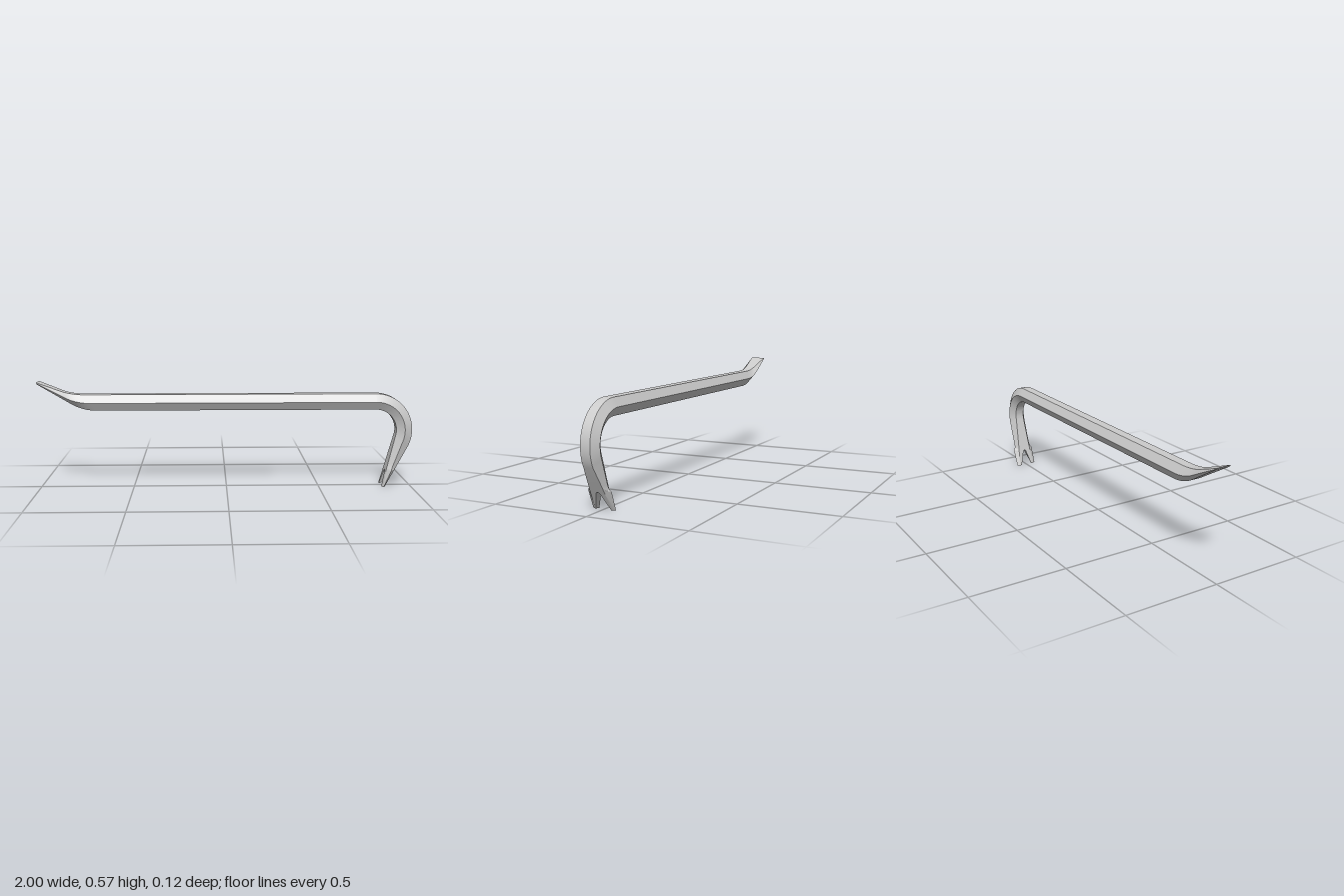
import * as THREE from 'three';
import { toCreasedNormals } from 'three/addons/utils/BufferGeometryUtils.js';

const material = new THREE.MeshStandardMaterial({ color: 0xcccccc });

// Skin a row of closed cross-sections; caps are convex fans.
function loft(name, sections, capStart, capEnd) {
  const pos = [];
  const tri = (a, b, c) => pos.push(...a, ...b, ...c);
  const n = sections[0].length;
  for (let i = 0; i < sections.length - 1; i++) {
    for (let j = 0; j < n; j++) {
      const k = (j + 1) % n;
      const a = sections[i][j], b = sections[i][k];
      const c = sections[i + 1][k], d = sections[i + 1][j];
      tri(a, b, d);
      tri(b, c, d);
    }
  }
  const first = sections[0], last = sections[sections.length - 1];
  for (let j = 1; j < n - 1; j++) {
    if (capStart) tri(first[0], first[j + 1], first[j]);
    if (capEnd) tri(last[0], last[j], last[j + 1]);
  }
  const geometry = new THREE.BufferGeometry();
  geometry.setAttribute('position', new THREE.Float32BufferAttribute(pos, 3));
  const mesh = new THREE.Mesh(toCreasedNormals(geometry, 0.5), material);
  mesh.name = name;
  return mesh;
}

// Hexagonal section from an outer point p, an inner point q,
// the half-width f of the flats and the half-width w of the side ridges.
function hexagon(p, q, f, w) {
  const m = [(p[0] + q[0]) / 2, (p[1] + q[1]) / 2];
  return [[...p, f], [...m, w], [...q, f], [...q, -f], [...m, -w], [...p, -f]];
}

// The claw tapers along straight lines, so it is sectioned by height.
const clawOuter = (y) => [0.858 + 0.561 * y, y];
const clawInner = (y) => [0.842 + 0.251 * y, y];
const clawFlat = (y) => 0.025 + 0.02 * (1 - y / 0.24);

function bezier(points, t) {
  const v = points.map((p) => new THREE.Vector2(...p));
  return new THREE.QuadraticBezierCurve(...v).getPoint(t).toArray();
}

function barSections() {
  const list = [];
  // Chisel tip, then the bend into the shaft
  list.push(hexagon([-1, 0.572], [-0.994, 0.562], 0.041, 0.043));
  const steps = 10;
  for (let i = 0; i <= steps; i++) {
    const t = i / steps;
    const p = bezier([[-0.87, 0.523], [-0.82, 0.505], [-0.75, 0.505]], t);
    const q = bezier([[-0.84, 0.467], [-0.77, 0.42], [-0.69, 0.42]], t);
    list.push(hexagon(p, q, Math.max(0.025, 0.027 - 0.006 * t), 0.05));
  }
  // Hook: outer and inner arcs about one centre
  const arc = (r, a) => [0.8 + r * Math.sin(a), 0.305 + r * Math.cos(a)];
  const turns = 28;
  for (let i = 0; i <= turns; i++) {
    const t = i / turns;
    list.push(hexagon(
      arc(0.2, THREE.MathUtils.degToRad(118) * t),
      arc(0.115, THREE.MathUtils.degToRad(104) * t), 0.025, 0.05));
  }
  // Claw root and flared shoulders: [height, half-width]
  const shoulders = [
    [0.125, 0.05], [0.112, 0.051], [0.103, 0.054],
    [0.096, 0.059], [0.092, 0.062], [0.088, 0.062],
  ];
  for (const [y, w] of shoulders) {
    list.push(hexagon(clawOuter(y), clawInner(y), clawFlat(y), w));
  }
  return list;
}

function prongSections(side) {
  // Notch: [height, half-width on the inner face, half-width on the outer face]
  const notch = [
    [0.088, 0, 0], [0.0875, 0.003, 0.004], [0.086, 0.005, 0.007],
    [0.083, 0.0075, 0.01], [0.078, 0.0095, 0.0125], [0, 0.033, 0.04],
  ];
  return notch.map(([y, nIn, nOut]) => {
    const p = clawOuter(y), q = clawInner(y), f = clawFlat(y);
    const w = 0.06 + 0.002 * (y / 0.088);
    const m = [(p[0] + q[0]) / 2, y];
    const loop = [[...p, nOut], [...p, f], [...m, w], [...q, f], [...q, nIn]];
    return side > 0 ? loop : loop.map(([x, h, z]) => [x, h, -z]).reverse();
  });
}

export function createModel() {
  const group = new THREE.Group();
  group.name = 'pryBar';
  group.add(loft('shaftWithChiselAndHook', barSections(), true, false));
  group.add(loft('frontProng', prongSections(1), false, true));
  group.add(loft('backProng', prongSections(-1), false, true));
  return group;
}
